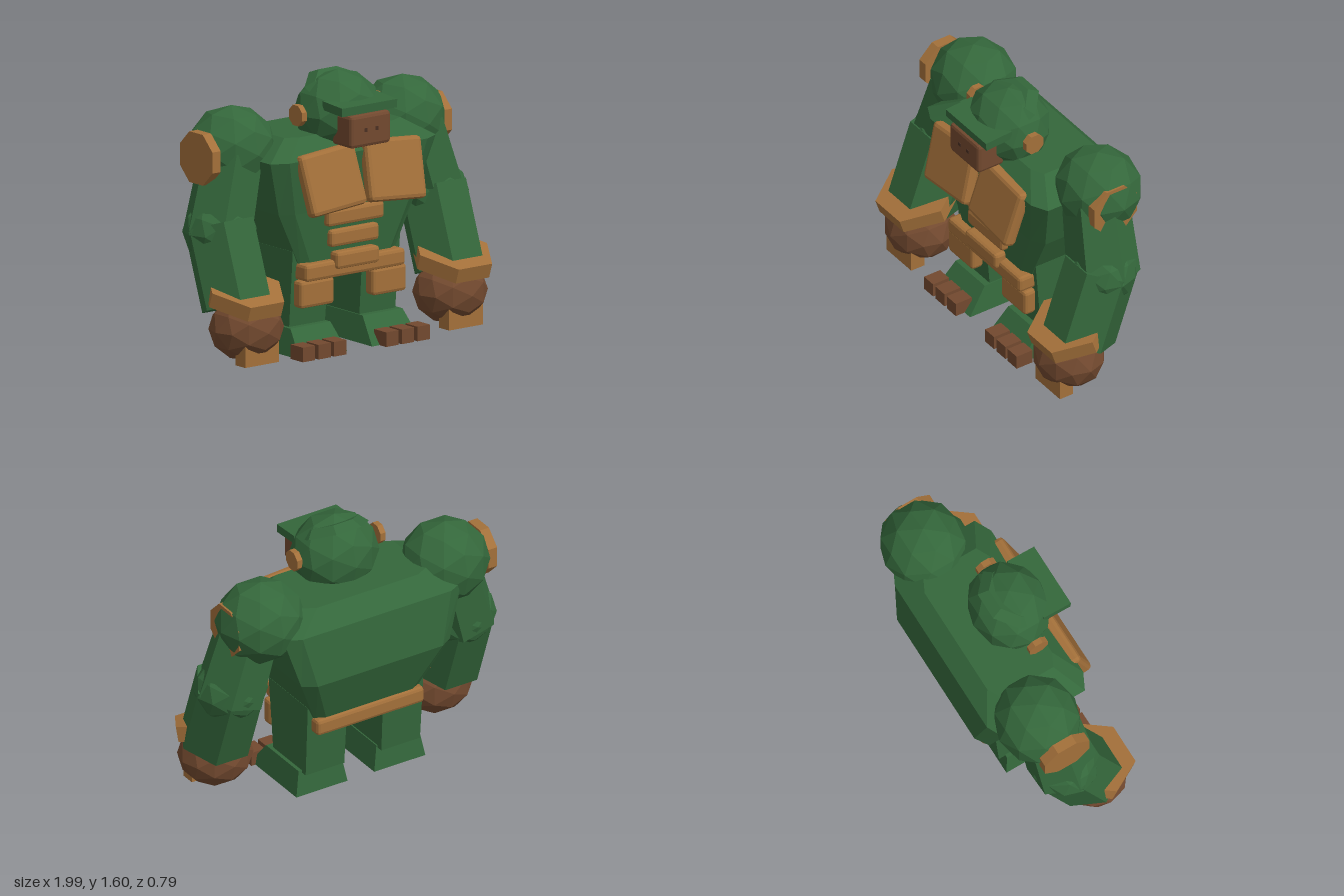
import * as THREE from 'three';
import { RoundedBoxGeometry } from 'three/addons/geometries/RoundedBoxGeometry.js';

const paint = (name, color) => {
  const m = new THREE.MeshStandardMaterial({ color, flatShading: true });
  m.name = name;
  return m;
};

// Closed skin over horizontal sections { y, pts: [[x, z], ...] }, listed bottom to top
function loft(sections) {
  const n = sections[0].pts.length, pos = [], idx = [];
  sections.forEach(({ y, pts }) => pts.forEach(([x, z]) => pos.push(x, y, z)));
  for (let i = 0; i < sections.length - 1; i++) {
    for (let j = 0; j < n; j++) {
      const a = i * n + j, b = i * n + (j + 1) % n;
      idx.push(a, b, b + n, a, b + n, a + n);
    }
  }
  const top = (sections.length - 1) * n;
  for (let j = 1; j < n - 1; j++) {
    idx.push(top, top + j, top + j + 1);
    idx.push(0, j + 1, j);
  }
  const g = new THREE.BufferGeometry();
  g.setAttribute('position', new THREE.Float32BufferAttribute(pos, 3));
  g.setIndex(idx);
  g.computeVertexNormals();
  return g;
}

const rect = (y, w, z0, z1) => ({ y, pts: [[-w, z1], [w, z1], [w, z0], [-w, z0]] });

// Rectangle with cut corners
const cutRect = (y, w, z0, z1, cx, cz) => ({
  y,
  pts: [[-w + cx, z1], [w - cx, z1], [w, z1 - cz], [w, z0 + cz],
    [w - cx, z0], [-w + cx, z0], [-w, z0 + cz], [-w, z1 - cz]],
});

const box = (w, h, d) => new THREE.BoxGeometry(w, h, d);
const bevelBox = (w, h, d, r = 0.02) => new RoundedBoxGeometry(w, h, d, 1, r);
const ball = (x, y, z) => new THREE.IcosahedronGeometry(1, 1).scale(x, y, z);
// Six-sided column with a flat side to the front
const hex = (rTop, rBottom, h) => new THREE.CylinderGeometry(rTop, rBottom, h, 6).rotateY(Math.PI / 6);
// Eight-sided disc facing sideways
const disc = (r, h) => new THREE.CylinderGeometry(r, r, h, 8).rotateY(Math.PI / 8).rotateZ(Math.PI / 2);

export function createModel() {
  const green = paint('green hide', 0x34673b);
  const ochre = paint('ochre plate', 0xa3703a);
  const brown = paint('brown skin', 0x72492f);
  const dark = paint('dark nostril', 0x4a2f22);

  const model = new THREE.Group();
  model.name = 'hulkingBeast';
  const add = (name, geo, mat, p = [0, 0, 0], r = [0, 0, 0]) => {
    const m = new THREE.Mesh(geo, mat);
    m.name = name;
    m.position.set(...p);
    m.rotation.set(...r);
    model.add(m);
    return m;
  };

  // Torso
  add('torso', loft([
    cutRect(0.48, 0.33, -0.26, 0.2, 0.06, 0.03),
    cutRect(0.83, 0.5, -0.395, 0.23, 0.08, 0.05),
    cutRect(1.15, 0.6, -0.36, 0.28, 0.1, 0.05),
    cutRect(1.26, 0.42, -0.26, 0.17, 0.08, 0.04),
  ]), green);

  // Belt and belly slats
  add('belt', bevelBox(0.72, 0.1, 0.56), ochre, [0, 0.48, -0.02]);
  [[0.78, 0.41, 0.225], [0.655, 0.35, 0.215], [0.53, 0.31, 0.245]].forEach(([y, w, z]) =>
    add('bellySlat', bevelBox(w, 0.1, 0.08), ochre, [0, y, z]));

  // Head, with a tilted crest and heavy brow
  add('head', ball(0.265, 0.24, 0.235), green, [0, 1.355, 0.09]);
  add('crest', new THREE.CylinderGeometry(0.17, 0.22, 0.05, 8).rotateY(Math.PI / 8), green,
    [0, 1.495, 0.13], [0.44, 0, 0]);
  add('brow', box(0.4, 0.05, 0.18), green, [0, 1.425, 0.29], [0.07, 0, 0]);
  add('muzzle', bevelBox(0.29, 0.19, 0.18), brown, [0, 1.295, 0.305]);

  for (const s of [-1, 1]) {
    // Face details
    add('eye', box(0.08, 0.03, 0.03), ochre, [s * 0.09, 1.392, 0.335]);
    add('nostril', box(0.022, 0.022, 0.008), dark, [s * 0.04, 1.3, 0.395]);
    add('ear', disc(0.064, 0.035), ochre, [s < 0 ? -0.297 : 0.263, 1.37, 0.1]);

    // Chest plate, leaning outward at the bottom
    add('chestPlate', bevelBox(0.4, 0.36, 0.08, 0.025), ochre,
      [s * 0.226, 1.02, 0.31], [-0.27, 0, -s * 0.08]);

    // Arm
    add('shoulder', ball(0.265, 0.25, 0.25), green, [s * 0.62, 1.19, -0.1]);
    add('shoulderDisc', disc(0.16, 0.06), ochre, [s < 0 ? -0.87 : 0.81, 1.175, -0.07]);
    add('upperArm', hex(0.19, 0.21, 0.48), green, [s * 0.72, 0.94, -0.04], [-0.06, 0, s * 0.27]);
    add('elbow', ball(0.22, 0.19, 0.2), green, [s * 0.77, 0.75, -0.02]);
    add('forearm', hex(0.215, 0.215, 0.47), green, [s * 0.772, 0.56, 0.058], [-0.34, 0, 0]);
    add('cuff', hex(0.242, 0.242, 0.09), ochre, [s * 0.755, 0.41, 0.185], [0.32, 0, 0]);
    add('fist', ball(0.222, 0.19, 0.205), brown, [s * 0.74, 0.215, 0.185]);
    add('knuckleBlock', box(0.245, 0.125, 0.09), ochre, [s * 0.74, 0.085, 0.285]);

    // Leg, foot and thigh pad
    add('leg', loft([rect(0.14, 0.13, -0.21, 0.13), rect(0.6, 0.135, -0.24, 0.17)]),
      green, [s * 0.255, 0, 0]);
    add('foot', loft([rect(0, 0.172, -0.19, 0.29), rect(0.155, 0.145, -0.17, 0.17)]),
      green, [s * 0.262, 0, 0]);
    add('thighPad', bevelBox(0.245, 0.16, 0.08), ochre, [s * 0.262, 0.355, 0.2]);
    for (let i = 0; i < 3; i++) {
      add('toe', box(0.09, 0.085, 0.11), brown, [s * (0.19 + i * 0.113), 0.0425, 0.295]);
    }
  }
  return model;
}
